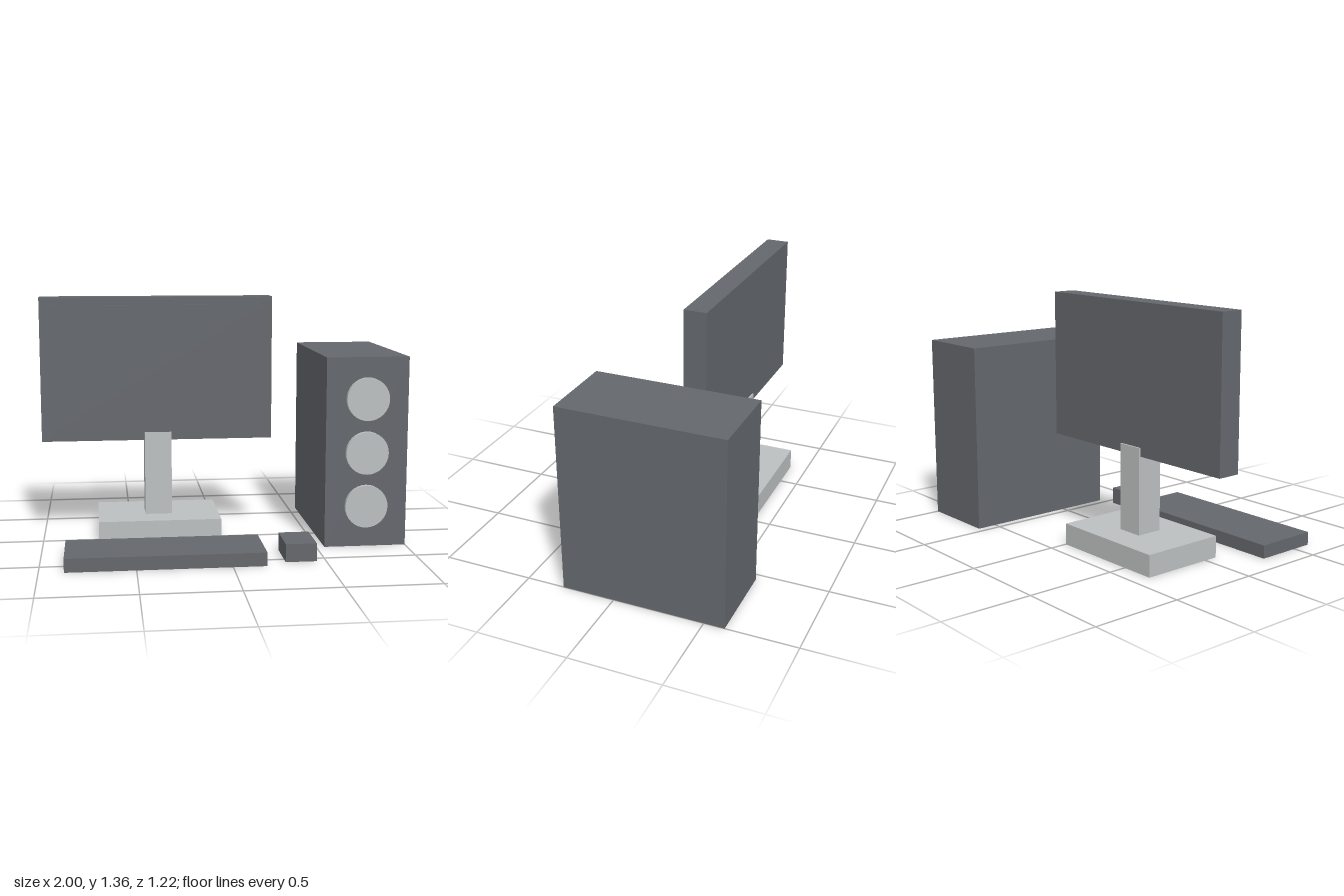
import * as THREE from 'three';

export function createModel() {
  const group = new THREE.Group();

  const charcoal = new THREE.MeshStandardMaterial({ color: 0x64676c });
  charcoal.name = 'charcoal';
  const silver = new THREE.MeshStandardMaterial({ color: 0xbcc0c0 });
  silver.name = 'silver';

  // Box given by its extents on each axis
  function box(parent, name, material, [x0, x1], [y0, y1], [z0, z1]) {
    const mesh = new THREE.Mesh(new THREE.BoxGeometry(x1 - x0, y1 - y0, z1 - z0), material);
    mesh.position.set((x0 + x1) / 2, (y0 + y1) / 2, (z0 + z1) / 2);
    mesh.name = name;
    parent.add(mesh);
  }

  // Monitor on its stand
  const monitor = new THREE.Group();
  monitor.name = 'monitor';
  box(monitor, 'monitorBody', charcoal, [-1, 0.305], [0.55, 1.36], [-0.225, -0.097]);
  box(monitor, 'screen', charcoal, [-0.945, 0.255], [0.597, 1.315], [-0.097, -0.082]);
  box(monitor, 'standPost', silver, [-0.422, -0.27], [0.12, 0.597], [-0.235, -0.086]);
  box(monitor, 'standBase', silver, [-0.69, -0.003], [0, 0.12], [-0.4, 0.075]);
  group.add(monitor);

  // Keyboard and mouse
  box(group, 'keyboard', charcoal, [-0.87, 0.178], [0, 0.073], [0.255, 0.612]);
  box(group, 'mouse', charcoal, [0.284, 0.45], [0, 0.097], [0.315, 0.553]);

  // Computer case with three round fans on its front
  const tower = new THREE.Group();
  tower.name = 'tower';
  box(tower, 'case', charcoal, [0.545, 1], [0, 1.05], [-0.612, 0.29]);
  const fanGeometry = new THREE.CylinderGeometry(0.118, 0.118, 0.026, 32);
  fanGeometry.rotateX(Math.PI / 2);
  for (let i = 0; i < 3; i++) {
    const fan = new THREE.Mesh(fanGeometry, silver);
    fan.position.set(0.772, 0.228 + i * 0.297, 0.303);
    fan.name = 'fan' + (i + 1);
    tower.add(fan);
  }
  group.add(tower);

  return group;
}
